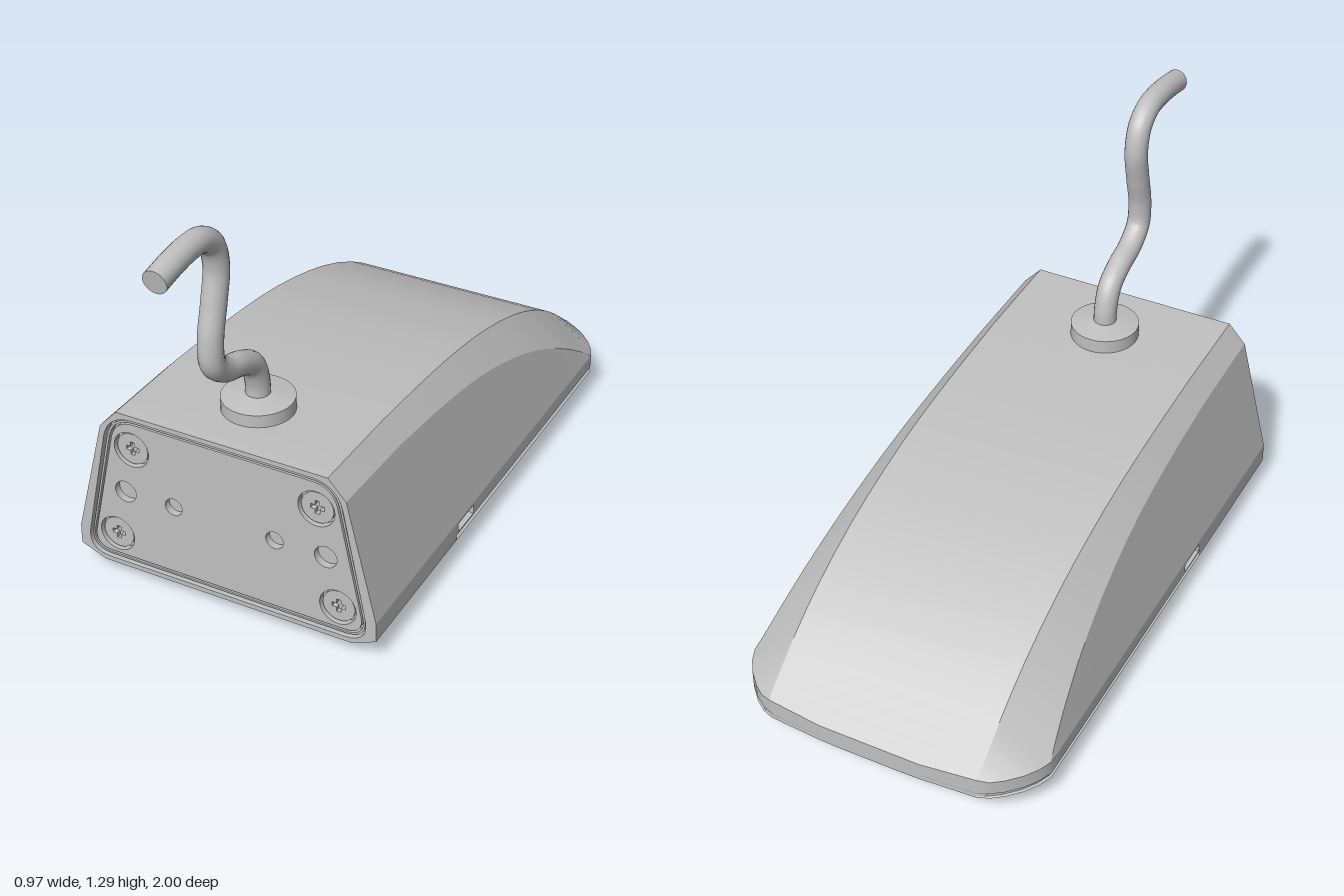
import * as THREE from 'three';

export function createModel() {
  const model = new THREE.Group();
  const grey = new THREE.MeshStandardMaterial({ color: 0xc0c0c0 });
  grey.name = 'grey';

  const add = (name, geometry, x = 0, y = 0, z = 0) => {
    const mesh = new THREE.Mesh(geometry, grey);
    mesh.name = name;
    mesh.position.set(x, y, z);
    model.add(mesh);
    return mesh;
  };
  const extrude = (shape, depth) =>
    new THREE.ExtrudeGeometry(shape, { depth, bevelEnabled: false, curveSegments: 16 });

  // Skin rings of points: one strip per edge, creased between strips and smooth along them
  const loft = (rings, skip = () => false) => {
    const pos = [], index = [], n = rings[0].length;
    for (let j = 0; j < n; j++) {
      const base = pos.length / 3;
      rings.forEach((r) => pos.push(...r[j], ...r[(j + 1) % n]));
      for (let i = 0; i < rings.length - 1; i++) {
        if (skip(i, j)) continue;
        const a = base + i * 2;
        index.push(a, a + 2, a + 1, a + 1, a + 2, a + 3);
      }
    }
    const last = rings[rings.length - 1], base = pos.length / 3;
    last.forEach((p) => pos.push(...p));
    for (let j = 1; j < n - 1; j++) index.push(base, base + j + 1, base + j);
    const g = new THREE.BufferGeometry();
    g.setAttribute('position', new THREE.Float32BufferAttribute(pos, 3));
    g.setIndex(index);
    g.computeVertexNormals();
    return g;
  };

  // Housing cross-section: z, top height, half width
  const W = 0.483;
  const section = ([z, top, w]) => {
    const xt = Math.min(0.335, w);
    const slope = 0.66 + 0.75 * top;
    const xs = Math.min(w, (2.167 - top - 0.335 * slope) / (4.22 - slope));
    const ys = Math.min(top, Math.max(0.14, top - slope * (xs - xt)));
    const yb = 0.045 + 0.03 * Math.max(0, (-z - 0.92) / 0.08);
    const g = z <= 0.2 ? 0.008 : 0;
    const half = [
      [w - 0.08, yb], [w, 0.077], [w - g, 0.082], [w - g, 0.09], [w, 0.095],
      [w, 0.1], [w, 0.13], [w, Math.min(0.14, top)], [xs, ys], [xt, top],
    ];
    const mirrored = half.map(([x, y]) => [-x, y]).reverse();
    return [...half, ...mirrored].map(([x, y]) => [x, y, z]);
  };
  const stations = [
    [0.69, 0.58, W], [0.4, 0.573, W], [0.201, 0.56, W], [0.2, 0.56, W],
    [0.19, 0.559, W], [0.085, 0.55, W], [0, 0.541, W], [-0.1, 0.528, W],
    [-0.2, 0.511, W], [-0.3, 0.489, W], [-0.4, 0.463, W], [-0.5, 0.431, W],
    [-0.6, 0.392, W], [-0.7, 0.344, W], [-0.78, 0.298, W], [-0.83, 0.265, W],
    [-0.87, 0.236, 0.466], [-0.91, 0.205, 0.439], [-0.95, 0.174, 0.4],
    [-0.975, 0.156, 0.365], [-0.988, 0.146, 0.33], [-1, 0.136, 0.16],
  ];
  const notchStation = 4; // side strips left open for the latch notches
  add('housing', loft(stations.map(section),
    (i, j) => i === notchStation && (j === 5 || j === 13)));

  // Latch notches: inward-facing pockets
  const pocket = new THREE.BoxGeometry(0.04, 0.03, 0.105);
  pocket.setIndex(Array.from(pocket.index.array).reverse());
  pocket.attributes.normal.array.forEach((v, i, arr) => { arr[i] = -v; });
  for (const s of [-1, 1]) add('latchNotch', pocket, s * (W - 0.02), 0.115, 0.1375);

  // Front frame, gasket and recessed panel
  const roundedTrapezoid = (d, Type = THREE.Shape) => {
    const wt = 0.365 - d, wb = 0.465 - d * 1.1, t = 0.565 - d, b = 0.06 + d;
    const c = [[wb, b], [wt, t], [-wt, t], [-wb, b]].map((p) => new THREE.Vector2(...p));
    const s = new Type(), r = 0.085 - d;
    c.forEach((p, i) => {
      const before = c[(i + 3) % 4].clone().sub(p).setLength(r).add(p);
      const after = c[(i + 1) % 4].clone().sub(p).setLength(r).add(p);
      if (i) s.lineTo(before.x, before.y);
      else s.moveTo(before.x, before.y);
      s.quadraticCurveTo(p.x, p.y, after.x, after.y);
    });
    s.closePath();
    return s;
  };
  const frame = new THREE.Shape(section([0.72, 0.58, W]).map(([x, y]) => new THREE.Vector2(x, y)));
  frame.holes.push(roundedTrapezoid(0, THREE.Path));
  add('frontFrame', extrude(frame, 0.03), 0, 0, 0.69);

  const gasket = roundedTrapezoid(0.006);
  gasket.holes.push(roundedTrapezoid(0.012, THREE.Path));
  add('frontGasket', extrude(gasket, 0.022), 0, 0, 0.69);
  add('recessFloor', new THREE.ShapeGeometry(roundedTrapezoid(-0.003)), 0, 0, 0.69);

  const circle = (x, y, r) => new THREE.Path().absarc(x, y, r, 0, Math.PI * 2, true);
  const cornerScrews = [[0.295, 0.46], [0.36, 0.147]];
  const panel = roundedTrapezoid(0.018);
  for (const s of [-1, 1]) {
    for (const [x, y] of cornerScrews) panel.holes.push(circle(s * x, y, 0.057));
    panel.holes.push(circle(s * 0.323, 0.307, 0.035), circle(s * 0.163, 0.307, 0.028));
  }
  add('frontPanel', extrude(panel, 0.022), 0, 0, 0.69);

  // Cross-recessed screw heads
  const screwHead = (r, depth) => {
    const shape = new THREE.Shape().absarc(0, 0, r, 0, Math.PI * 2, false);
    const a = r * 0.14, b = r * 0.42;
    shape.holes.push(new THREE.Path([
      [a, a], [a, b], [-a, b], [-a, a], [-b, a], [-b, -a],
      [-a, -a], [-a, -b], [a, -b], [a, -a], [b, -a], [b, a],
    ].map((p) => new THREE.Vector2(...p))));
    return extrude(shape, depth);
  };
  const frontHead = screwHead(0.05, 0.015);
  for (const s of [-1, 1])
    for (const [x, y] of cornerScrews) add('frontScrew', frontHead, s * x, y, 0.69);

  // Raised pad under the lid, lofted from rounded rectangles
  const padRing = (y, w, z0, z1, r) => {
    const pts = [], zc = (z0 + z1) / 2, h = (z0 - z1) / 2;
    [[1, 1], [-1, 1], [-1, -1], [1, -1]].forEach(([sx, sz], q) => {
      for (let k = 0; k <= 8; k++) {
        const a = (q + k / 8) * Math.PI / 2;
        pts.push([sx * (w - r) + r * Math.cos(a), y, zc + sz * (h - r) + r * Math.sin(a)]);
      }
    });
    return pts.reverse();
  };
  add('bottomPad', loft([
    padRing(0.05, 0.395, 0.05, -0.92, 0.13),
    padRing(0.038, 0.385, 0.03, -0.9, 0.12),
    padRing(0.006, 0.333, -0.03, -0.835, 0.1),
    padRing(0, 0.318, -0.05, -0.815, 0.09),
  ]));

  // Lid screws, two along each side, nearly flush
  const lidHead = screwHead(0.025, 0.012);
  const lidScrew = (x, y, z, tilt) => {
    const out = new THREE.Vector3(Math.sin(tilt), -Math.cos(tilt), 0);
    const screw = add('lidScrew', lidHead, x, y, z);
    screw.position.addScaledVector(out, -0.008);
    screw.quaternion.setFromUnitVectors(new THREE.Vector3(0, 0, 1), out);
  };
  for (const s of [-1, 1]) {
    for (const z of [-0.18, -0.61]) lidScrew(s * 0.44, 0.06, z, s * 0.38);
    lidScrew(s * 0.2, 0.045, 0.11, 0);
    lidScrew(s * 0.17, 0.051, -0.94, 0);
  }

  // Cable grommet: disc with a shallow cone on top
  add('cableGrommet', new THREE.CylinderGeometry(0.107, 0.107, 0.066, 40), 0, 0.584, 0.505);
  add('cableGrommetTop', new THREE.CylinderGeometry(0.04, 0.107, 0.011, 40), 0, 0.6225, 0.505);

  // Bent cable with a flat end
  const path = new THREE.CatmullRomCurve3([
    [0.505, 0.6], [0.508, 0.67], [0.535, 0.735], [0.6, 0.773], [0.68, 0.8], [0.737, 0.85],
    [0.743, 0.93], [0.72, 1.03], [0.702, 1.13], [0.722, 1.205], [0.775, 1.243],
    [0.84, 1.25], [0.92, 1.243], [0.992, 1.23],
  ].map(([z, y]) => new THREE.Vector3(0, y, z)));
  add('cable', new THREE.TubeGeometry(path, 90, 0.036, 20));
  const end = path.getPoint(1);
  const cap = add('cableEnd', new THREE.CircleGeometry(0.036, 20), end.x, end.y, end.z);
  cap.quaternion.setFromUnitVectors(new THREE.Vector3(0, 0, 1), path.getTangent(1));

  return model;
}
